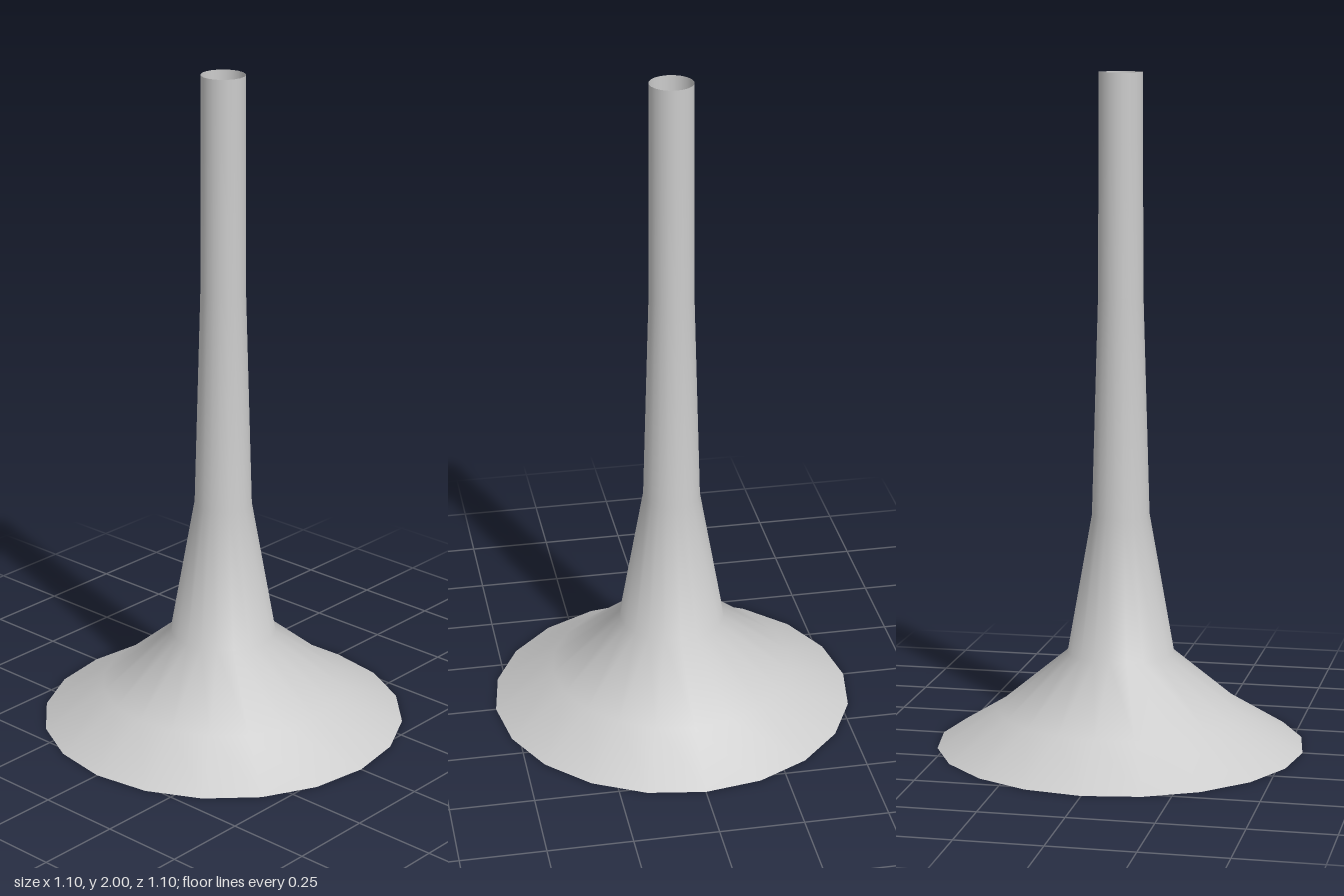
import * as THREE from 'three';

export function createModel() {
  const group = new THREE.Group();
  group.name = 'flaredHorn';

  // Radius and height of each ring, from the wide rim up to the open tip
  const profile = [
    [0.55, 0], [0.37, 0.11], [0.16, 0.283], [0.086, 0.70],
    [0.067, 1.35], [0.065, 1.8], [0.0645, 2],
  ].map(([r, y]) => new THREE.Vector2(r, y));

  // Thin, 20-sided smooth shell, open at both ends
  const material = new THREE.MeshStandardMaterial({ color: 0xcccccc, side: THREE.DoubleSide });
  const horn = new THREE.Mesh(new THREE.LatheGeometry(profile, 20), material);
  horn.name = 'hornShell';
  group.add(horn);

  return group;
}
